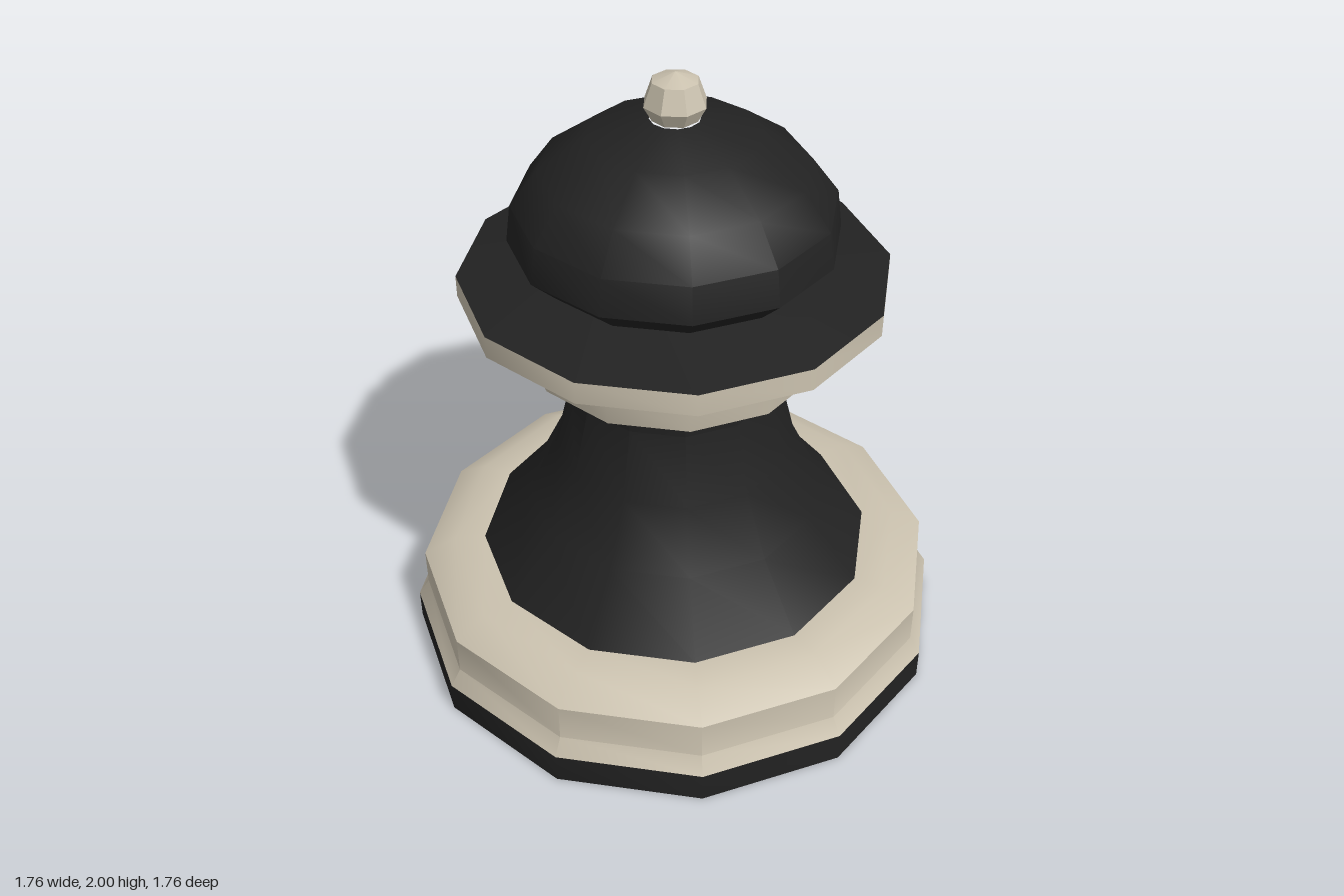
import * as THREE from 'three';
import { toCreasedNormals } from 'three/addons/utils/BufferGeometryUtils.js';

export function createModel() {
  const black = new THREE.MeshStandardMaterial({ color: 0x222222 });
  black.name = 'black';
  const cream = new THREE.MeshStandardMaterial({ color: 0xcbc2af });
  cream.name = 'cream';

  const model = new THREE.Group();
  model.name = 'chessPiece';

  // Turned part from a [radius, height] profile running bottom to top
  function turned(name, material, profile, sides = 12, crease = 0.6) {
    const points = profile.map(([r, y]) => new THREE.Vector2(r, y));
    const geometry = toCreasedNormals(new THREE.LatheGeometry(points, sides), crease);
    const mesh = new THREE.Mesh(geometry, material);
    mesh.name = name;
    model.add(mesh);
  }

  // Foot and stepped base
  turned('foot', black, [[0, 0], [0.88, 0], [0.88, 0.1]]);
  turned('base', cream, [[0.88, 0.1], [0.845, 0.155], [0.845, 0.28], [0.74, 0.34], [0.64, 0.34]]);

  // Flared body
  turned('body', black, [[0.64, 0.34], [0.48, 0.54], [0.383, 0.74], [0.327, 0.97], [0.34, 1.09]]);

  // Collar and wide flange
  turned('collar', cream, [[0.34, 1.09], [0.467, 1.1], [0.48, 1.2], [0.37, 1.255]]);
  turned('flange', cream, [[0.37, 1.255], [0.655, 1.3], [0.655, 1.37]]);
  turned('flangeTop', black, [[0.655, 1.37], [0.42, 1.41]]);

  // Domed head
  turned('head', black, [
    [0.42, 1.41], [0.497, 1.485], [0.482, 1.6], [0.4, 1.71], [0.255, 1.81], [0.075, 1.86],
  ]);

  // Faceted finial
  turned('finial', cream, [[0.07, 1.86], [0.095, 1.905], [0.07, 1.975], [0, 2]], 8, 0.4);

  return model;
}
